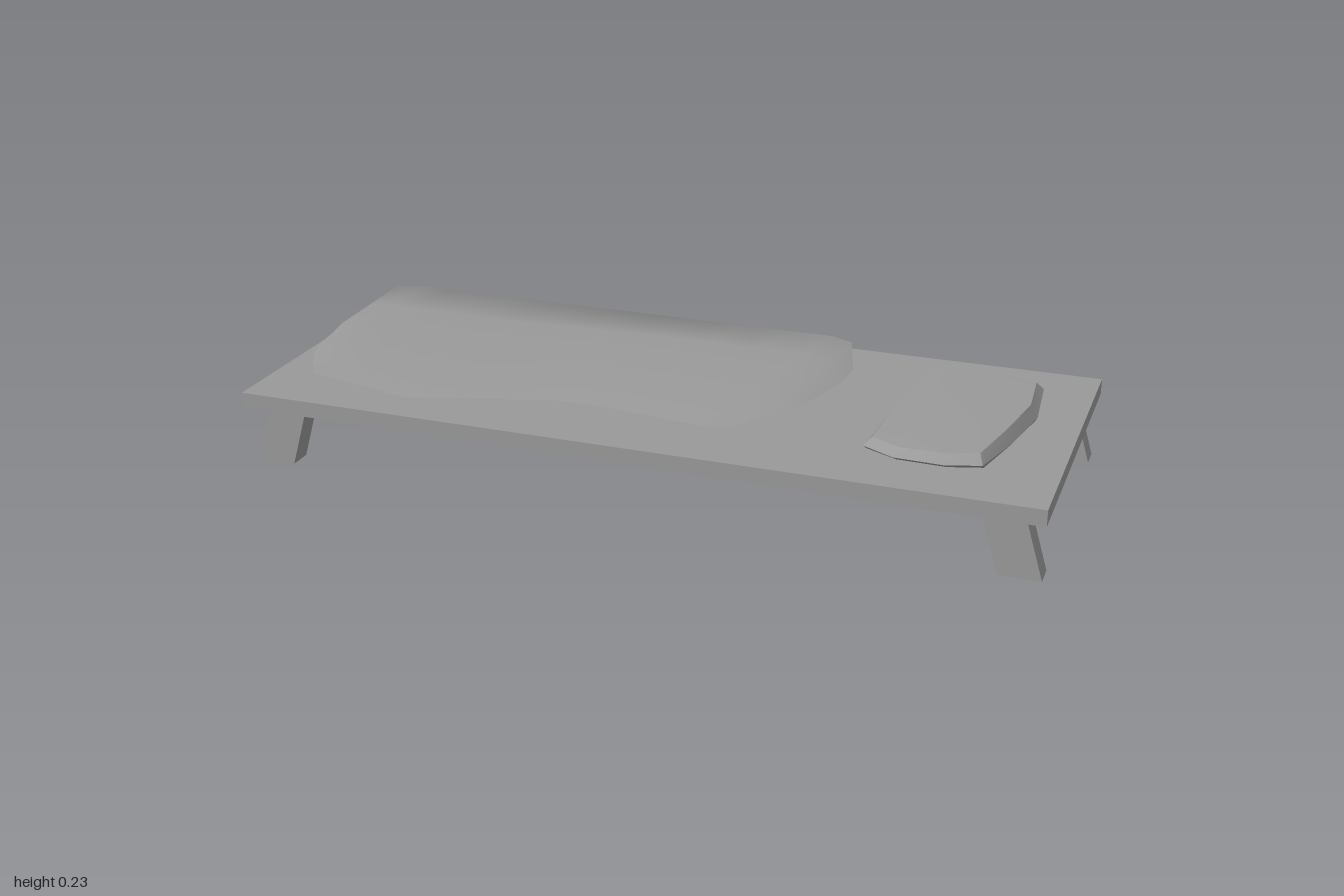
import * as THREE from 'three';
import { toCreasedNormals } from 'three/addons/utils/BufferGeometryUtils.js';

const GREY = 0x999999;
const material = new THREE.MeshStandardMaterial({ color: GREY });
const clothMaterial = new THREE.MeshStandardMaterial({ color: GREY, side: THREE.DoubleSide });

function addMesh(parent, name, geometry, mat = material) {
  const mesh = new THREE.Mesh(geometry, mat);
  mesh.name = name;
  parent.add(mesh);
  return mesh;
}

// Piecewise linear curve through [position, value] pairs
function along(points, t) {
  if (t <= points[0][0]) return points[0][1];
  for (let i = 1; i < points.length; i++) {
    const [a, va] = points[i - 1], [b, vb] = points[i];
    if (t <= b) return va + (vb - va) * (t - a) / (b - a);
  }
  return points[points.length - 1][1];
}

// Surface through a grid of points: rows (v) of equal length (u)
function gridGeometry(rows) {
  const n = rows[0].length, index = [];
  for (let j = 0; j < rows.length - 1; j++) {
    for (let i = 0; i < n - 1; i++) {
      const a = j * n + i;
      index.push(a, a + 1, a + n + 1, a, a + n + 1, a + n);
    }
  }
  const geometry = new THREE.BufferGeometry();
  geometry.setAttribute('position', new THREE.Float32BufferAttribute(rows.flat(2), 3));
  geometry.setIndex(index);
  geometry.computeVertexNormals();
  return geometry;
}

// Blanket: uneven front edge, rounded ends, and a hem hanging over the back
function blanketGeometry() {
  const front = [[0, 0.24], [0.27, 0.308], [0.63, 0.19], [1, 0.235]];
  const left = [[0, -0.88], [0.15, -0.94], [0.3, -0.975], [0.5, -0.995], [1, -1]];
  const right = [[0, 0.2], [0.1, 0.25], [0.3, 0.34], [0.68, 0.405], [0.85, 0.385], [1, 0.35]];
  const height = [[0, 0.191], [0.12, 0.2], [0.3, 0.208], [0.5, 0.213], [1, 0.215]];
  const endHeight = [[0, 0.191], [0.3, 0.191], [0.5, 0.175], [0.65, 0.15], [1, 0.137]];
  const hem = [[-1, 0.137], [-0.82, 0.125], [-0.48, 0.08], [-0.2, 0.075], [0.08, 0.11], [0.3, 0.15], [0.35, 0.19]];
  const us = [0, 0.012, 0.07, 0.14, 0.27, 0.39, 0.5, 0.6, 0.7, 0.8, 0.9, 0.96, 1];
  const vs = [0, 0.06, 0.12, 0.2, 0.3, 0.4, 0.5, 0.62, 0.74, 1];
  const rows = vs.map((v) => us.map((u) => {
    const x = THREE.MathUtils.lerp(along(left, v), along(right, v), u);
    const z = THREE.MathUtils.lerp(along(front, u), -0.408, v);
    let y = along(height, v);
    if (u === 0) y = along(endHeight, v);
    else if (u === 0.012) y = Math.max(0.192, y - 0.008);
    else if (u === 1) y = 0.192 + 0.012 * v ** 6;
    return [x, y, z];
  }));
  rows.push(rows[rows.length - 1].map(([x]) => [x, along(hem, x), -0.416]));
  return gridGeometry(rows);
}

// Pillow: one outline repeated at several heights and scales
function pillowGeometry() {
  const outline = [[0.893, -0.08], [0.88, -0.24], [0.8, -0.278], [0.69, -0.285], [0.605, -0.26], [0.575, -0.1],
    [0.555, 0.05], [0.55, 0.25], [0.63, 0.293], [0.75, 0.297], [0.83, 0.27], [0.865, 0.1]];
  outline.push(outline[0]);
  const cx = 0.72, cz = 0.01;
  // Scale in x, scale in z, height, extra lift at the two short ends
  const rings = [[0, 0, 0.191, 0], [0.98, 0.9, 0.191, 0], [1, 1, 0.197, 0.01],
    [0.9, 0.92, 0.226, 0], [0.5, 0.5, 0.231, 0], [0, 0, 0.231, 0]];
  const rows = rings.map(([sx, sz, y, lift]) => outline.map(([x, z]) => {
    const dx = (x - cx) * sx, dz = (z - cz) * sz;
    const tilt = y > 0.2 ? 0.02 * dx : 0;
    return [cx + dx, y + tilt + (Math.abs(dz) > 0.2 ? lift : 0), cz + dz];
  }));
  return toCreasedNormals(gridGeometry(rows), 0.5);
}

// Leg: a box whose foot leans outward
function legGeometry(side) {
  const geometry = new THREE.BoxGeometry(0.1, 0.15, 0.058);
  const p = geometry.attributes.position;
  for (let i = 0; i < p.count; i++) {
    if (p.getY(i) < 0) p.setX(i, p.getX(i) + side * 0.045);
  }
  geometry.computeVertexNormals();
  return geometry;
}

export function createModel() {
  const model = new THREE.Group();
  model.name = 'bed';

  addMesh(model, 'board', new THREE.BoxGeometry(1.98, 0.04, 0.815)).position.set(0.01, 0.17, 0.008);

  const legs = new THREE.Group();
  legs.name = 'legs';
  model.add(legs);
  for (const side of [-1, 1]) {
    for (const z of [0.35, -0.333]) {
      const name = (z > 0 ? 'front' : 'back') + (side > 0 ? 'Left' : 'Right') + 'Leg';
      addMesh(legs, name, legGeometry(side)).position.set(0.012 + side * 0.888, 0.075, z);
    }
  }

  addMesh(model, 'blanket', blanketGeometry(), clothMaterial);
  addMesh(model, 'pillow', pillowGeometry());
  return model;
}
